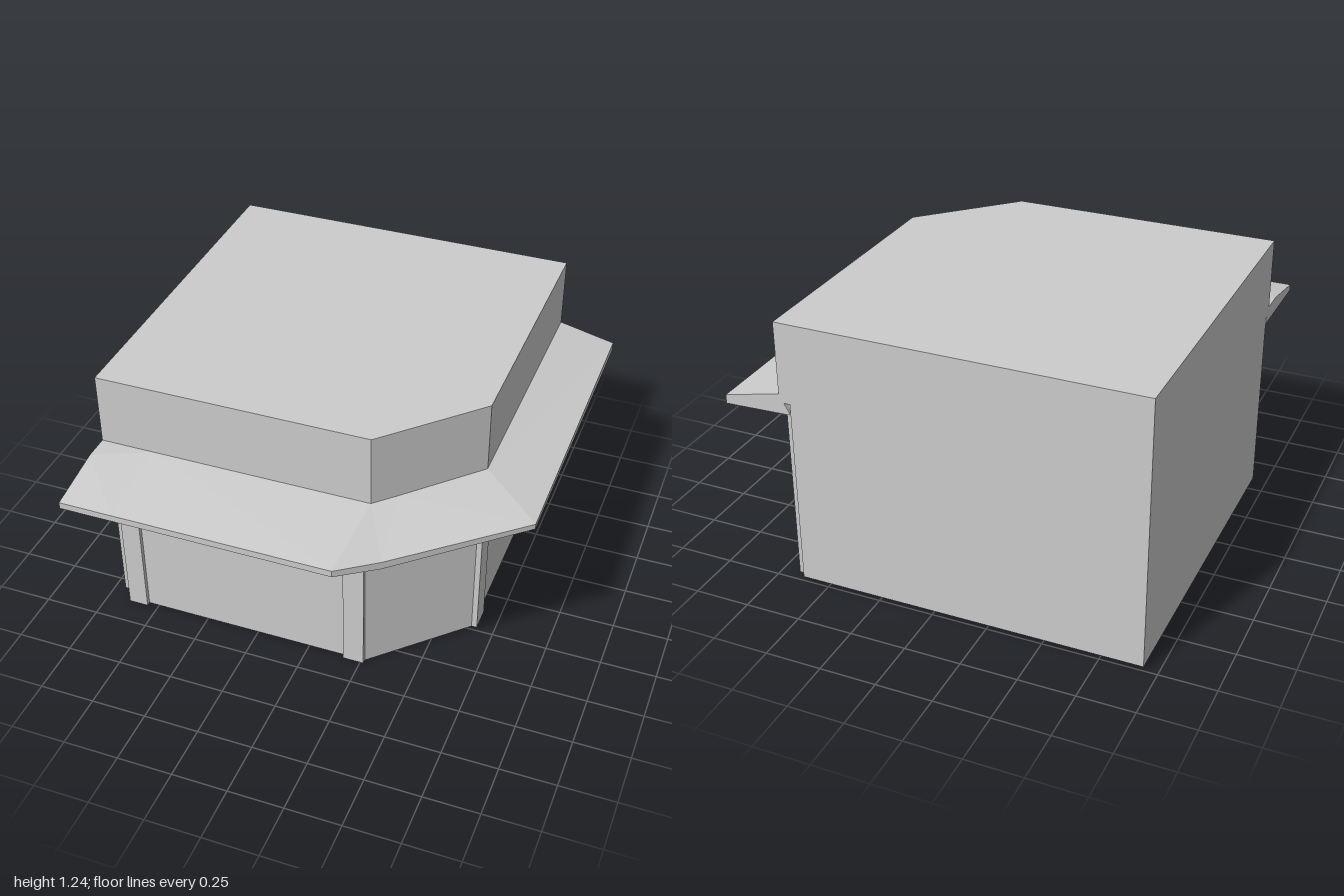
import * as THREE from 'three';

const material = new THREE.MeshStandardMaterial({ color: 0xcccccc, flatShading: true });

// Vertical prism from a floor plan of [x, z] corners
function prism(name, plan, y0, y1) {
  const shape = new THREE.Shape(plan.map(([x, z]) => new THREE.Vector2(x, -z)));
  const geo = new THREE.ExtrudeGeometry(shape, { depth: y1 - y0, bevelEnabled: false });
  geo.rotateX(-Math.PI / 2).translate(0, y0, 0);
  const mesh = new THREE.Mesh(geo, material);
  mesh.name = name;
  return mesh;
}

// Solid skin through closed cross-sections, capped at both ends
function loft(name, sections) {
  const n = sections[0].length, pos = [];
  const tri = (...pts) => pts.forEach((p) => pos.push(...p));
  for (let i = 0; i < sections.length - 1; i++) {
    for (let j = 0; j < n; j++) {
      const k = (j + 1) % n, s = sections[i], t = sections[i + 1];
      tri(s[j], s[k], t[k]);
      tri(s[j], t[k], t[j]);
    }
  }
  const first = sections[0], last = sections[sections.length - 1];
  for (let j = 1; j < n - 1; j++) {
    tri(first[0], first[j + 1], first[j]);
    tri(last[0], last[j], last[j + 1]);
  }
  const geo = new THREE.BufferGeometry();
  geo.setAttribute('position', new THREE.Float32BufferAttribute(pos, 3));
  geo.computeVertexNormals();
  const mesh = new THREE.Mesh(geo, material);
  mesh.name = name;
  return mesh;
}

// Awning section: wall point, outer point, heights of the outer edge, hidden inner foot
function awningSection([wx, wz], [ox, oz], top, bottom, [fx, fz], footY, ledge = 0) {
  return [
    [wx, 0.91, wz], [wx, 0.91, wz + ledge],
    [ox, top, oz], [ox, bottom, oz], [fx, footY, fz],
  ];
}

export function createModel() {
  const group = new THREE.Group();
  group.name = 'cornerShop';
  const ceiling = 0.87;

  // Upper storey with the chamfered corner
  group.add(prism('upperBlock', [
    [-0.94, -1], [0.67, -1], [0.67, 0.22], [0.29, 0.61], [-0.94, 0.61],
  ], ceiling, 1.235));

  // Plain walls at the back and left, lifted slightly off the ground
  group.add(prism('backAndLeftWall', [
    [-0.94, -1], [0.62, -1], [0.62, -0.95], [-0.89, -0.95], [-0.89, 0.57], [-0.94, 0.57],
  ], 0.02, ceiling));

  // Shop front: pilasters with recessed panels, hollow behind
  group.add(prism('shopFront', [
    [0.67, -0.95], [0.67, -0.67], [0.65, -0.67], [0.65, 0.12], [0.67, 0.12], [0.67, 0.23],
    [0.645, 0.23], [0.265, 0.605], [0.265, 0.625], [0.17, 0.625], [0.17, 0.605],
    [-0.8, 0.605], [-0.8, 0.625], [-0.89, 0.625],
    [-0.89, 0.55], [-0.8, 0.55], [-0.8, 0.57], [0.25, 0.57], [0.62, 0.2], [0.62, -0.95],
  ], 0, 0.86));

  // Sloping awning round the front, corner and right side
  group.add(loft('awning', [
    awningSection([-0.94, 0.61], [-0.94, 1], 0.86, 0.83, [-0.94, 0.57], 0.84, 0.11),
    awningSection([-0.7, 0.61], [-0.7, 1], 0.86, 0.83, [-0.7, 0.57], 0.835),
    awningSection([0.29, 0.61], [0.27, 1], 0.86, 0.83, [0.25, 0.57], 0.83),
    awningSection([0.38, 0.52], [0.43, 0.865], 0.845, 0.81, [0.34, 0.48], 0.83),
    awningSection([0.67, 0.22], [0.94, 0.43], 0.85, 0.825, [0.62, 0.2], 0.825),
    awningSection([0.67, -1], [0.93, -1], 0.85, 0.81, [0.62, -1], 0.82),
  ]));

  return group;
}
